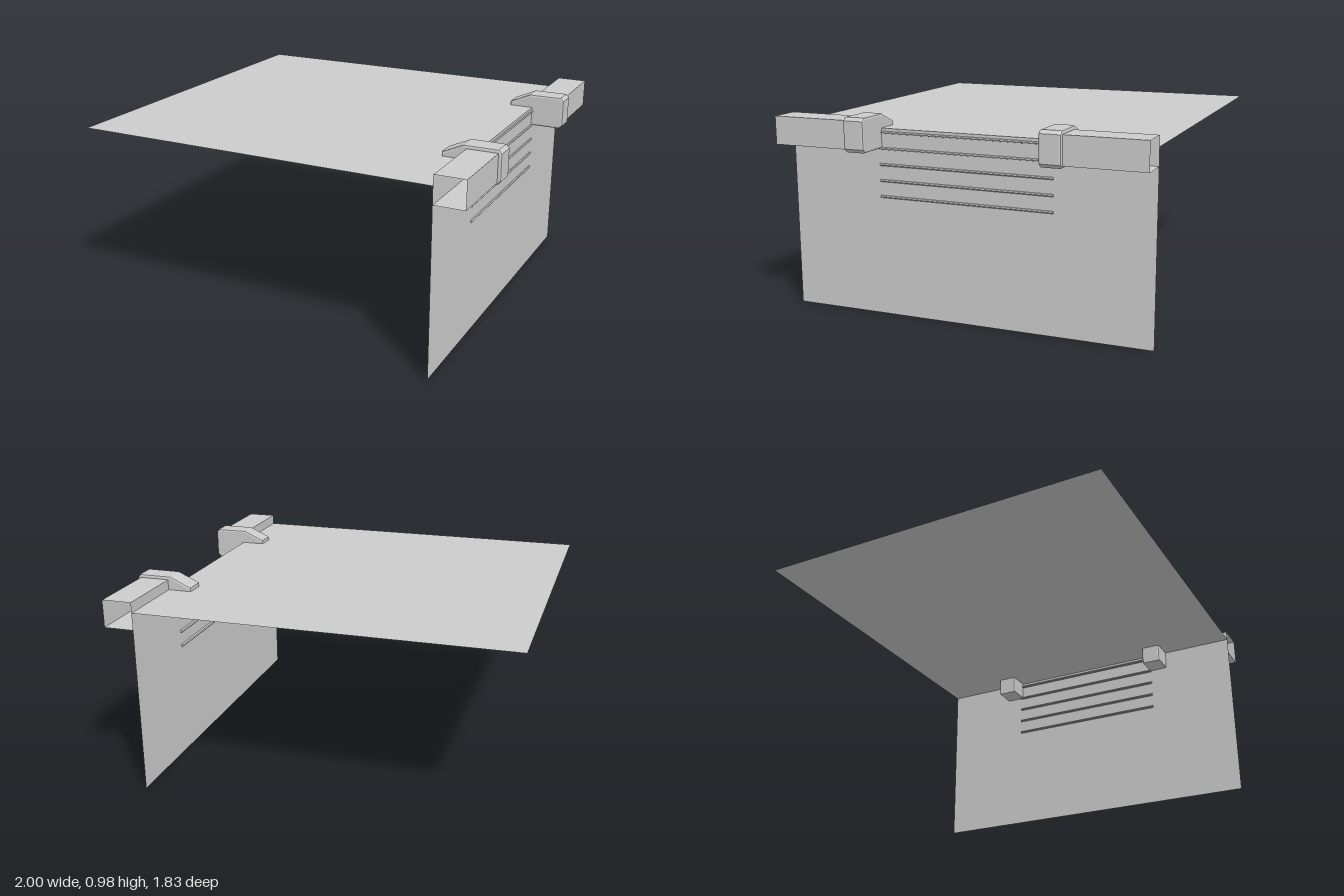
import * as THREE from 'three';

const grey = new THREE.MeshStandardMaterial({ color: 0xcccccc, flatShading: true });
const thin = new THREE.MeshStandardMaterial({ color: 0xcccccc, side: THREE.DoubleSide, flatShading: true });
const HALF = 0.915; // half depth of the panels
const EDGE = 0.83; // x where the panels meet
const DECK = 0.915; // height of the top panel

function add(parent, name, geometry, material, x, y, z) {
  const mesh = new THREE.Mesh(geometry, material);
  mesh.name = name;
  mesh.position.set(x, y, z);
  parent.add(mesh);
  return mesh;
}

// Square tube without end caps, running along z
function tubeGeometry(width, height, length) {
  const tube = new THREE.CylinderGeometry(Math.SQRT1_2, Math.SQRT1_2, 1, 4, 1, true);
  return tube.rotateY(Math.PI / 4).rotateX(Math.PI / 2).scale(width, height, length);
}

// Clamp block: sloped nose over the top panel, soft bevelled edges
function clampGeometry() {
  const b = 0.01, depth = 0.105;
  const profile = new THREE.Shape([
    [0.72, 0.828], [0.975, 0.828], [0.987, 0.84], [0.987, 0.963],
    [0.977, 0.973], [0.82, 0.973], [0.72, 0.928],
  ].map(([x, y]) => new THREE.Vector2(x, y)));
  const geometry = new THREE.ExtrudeGeometry(profile, {
    depth: depth - 2 * b, bevelEnabled: true, bevelSize: b, bevelThickness: b, bevelSegments: 2,
  });
  return geometry.translate(0, 0, b - depth / 2);
}

export function createModel() {
  const model = new THREE.Group();
  model.name = 'panelAssembly';

  // Thin panels meeting at a right angle
  const topPanel = new THREE.PlaneGeometry(EDGE + 1, 2 * HALF).rotateX(-Math.PI / 2);
  add(model, 'topPanel', topPanel, thin, (EDGE - 1) / 2, DECK, 0);
  const sidePanel = new THREE.PlaneGeometry(2 * HALF, DECK).rotateY(Math.PI / 2);
  add(model, 'sidePanel', sidePanel, thin, EDGE, DECK / 2, 0);

  // A hollow rail and a clamp at each end
  for (const side of [-1, 1]) {
    const end = side > 0 ? 'front' : 'back';
    const inner = 0.48;
    add(model, end + 'Rail', tubeGeometry(0.148, 0.136, HALF - inner), thin,
      EDGE + 0.075, 0.898, side * (HALF + inner) / 2);
    add(model, end + 'Clamp', clampGeometry(), grey, 0, 0, side * 0.481);
  }

  // Slim flattened rods across the side panel
  for (let i = 0; i < 5; i++) {
    const rod = new THREE.CylinderGeometry(1, 1, 0.876, 8).rotateX(Math.PI / 2).scale(0.011, 0.007, 1);
    add(model, 'rod' + (i + 1), rod, grey, 0.827, 0.585 + i * 0.0775, 0);
  }
  return model;
}
